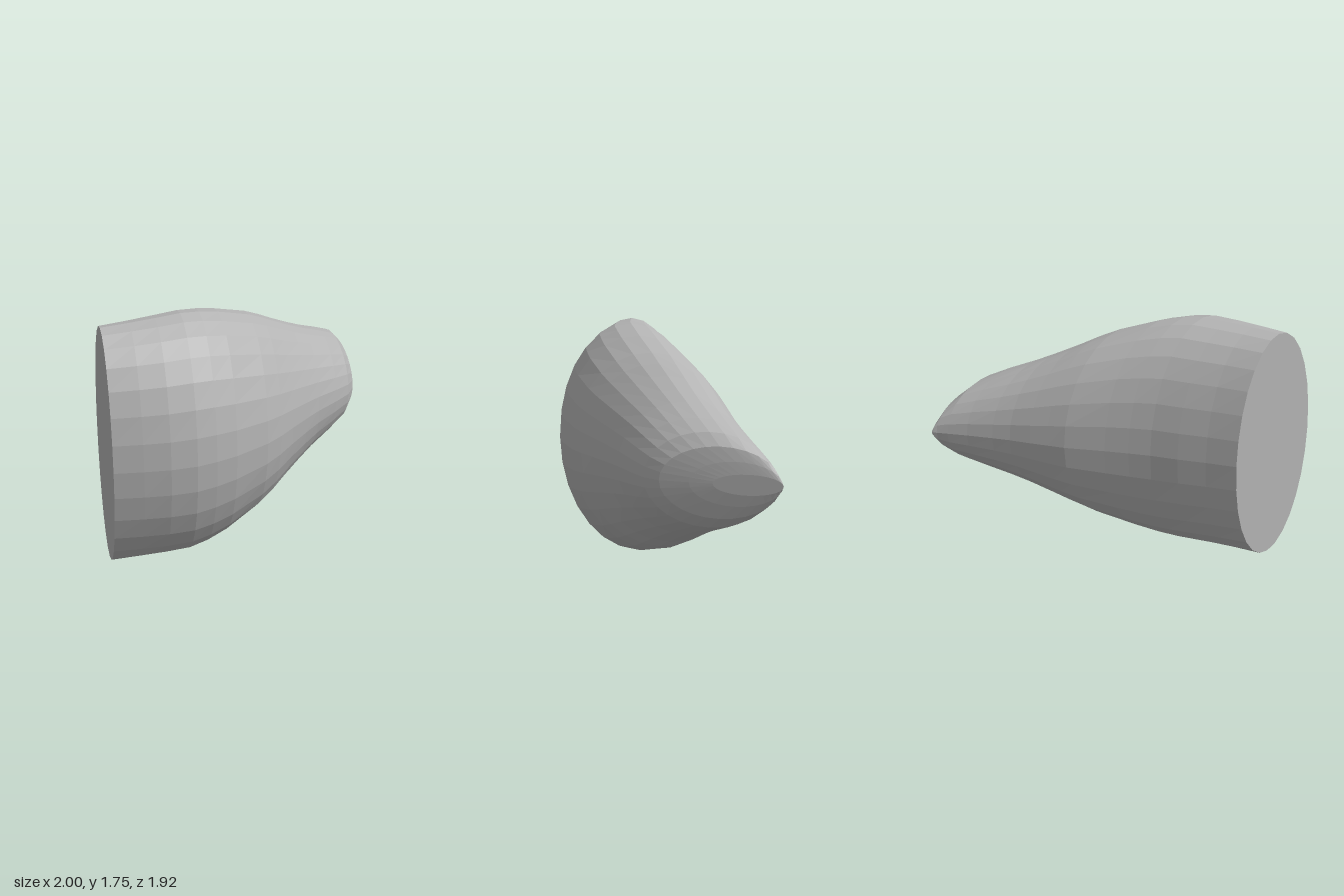
import * as THREE from 'three';

const SIDES = 28;
const MID_Y = 0.877;

// Cross-sections along x: [x, half height, back z, front z]
const SECTIONS = [
  [-1.0, 0.86, 0.06, 0.93],
  [-0.8, 0.866, -0.03, 0.95],
  [-0.62, 0.872, -0.12, 0.96],
  [-0.44, 0.877, -0.2, 0.945],
  [-0.3, 0.858, -0.275, 0.905],
  [-0.15, 0.82, -0.36, 0.845],
  [0.1, 0.73, -0.51, 0.7],
  [0.22, 0.67, -0.565, 0.6],
  [0.34, 0.6, -0.62, 0.48],
  [0.48, 0.525, -0.68, 0.345],
  [0.6, 0.465, -0.74, 0.235],
  [0.77, 0.39, -0.83, 0.1],
  [0.9, 0.324, -0.905, -0.015],
  [0.97, 0.243, -0.945, -0.135],
];

// Shallow dome that closes the narrow end
const TIP = [
  [0.97, 0.243, -0.945, -0.135],
  [0.99, 0.15, -0.96, -0.34],
  [1.0, 0.07, -0.965, -0.5],
];

function ringPoint([x, halfHeight, back, front], i) {
  const a = (i / SIDES) * Math.PI * 2;
  return [
    x,
    MID_Y + halfHeight * Math.sin(a),
    (front + back) / 2 + ((front - back) / 2) * Math.cos(a),
  ];
}

function centre([x, , back, front]) {
  return [x, MID_Y, (front + back) / 2];
}

function toGeometry(points) {
  const geometry = new THREE.BufferGeometry();
  geometry.setAttribute('position', new THREE.Float32BufferAttribute(points.flat(), 3));
  geometry.computeVertexNormals();
  return geometry;
}

// Skin stretched over successive rings, facing outwards
function loft(sections) {
  const points = [];
  for (let s = 0; s < sections.length - 1; s++) {
    for (let i = 0; i < SIDES; i++) {
      const a = ringPoint(sections[s], i);
      const b = ringPoint(sections[s + 1], i);
      const c = ringPoint(sections[s + 1], i + 1);
      const d = ringPoint(sections[s], i + 1);
      points.push(a, b, c, a, c, d);
    }
  }
  return toGeometry(points);
}

// Flat end disc; side is +1 or -1 along x
function endCap(section, side) {
  const points = [];
  for (let i = 0; i < SIDES; i++) {
    const a = ringPoint(section, i);
    const b = ringPoint(section, i + 1);
    points.push(centre(section), ...(side > 0 ? [b, a] : [a, b]));
  }
  return toGeometry(points);
}

export function createModel() {
  const group = new THREE.Group();
  group.name = 'taperedBody';
  const grey = new THREE.MeshStandardMaterial({ color: 0xb4b4b4 });
  grey.name = 'grey';
  grey.flatShading = true;

  const add = (name, geometry) => {
    const mesh = new THREE.Mesh(geometry, grey);
    mesh.name = name;
    group.add(mesh);
  };

  add('bodyShell', loft(SECTIONS));
  add('wideEnd', endCap(SECTIONS[0], -1));
  add('narrowEndDome', loft(TIP));
  add('narrowEndCentre', endCap(TIP[TIP.length - 1], 1));
  return group;
}
